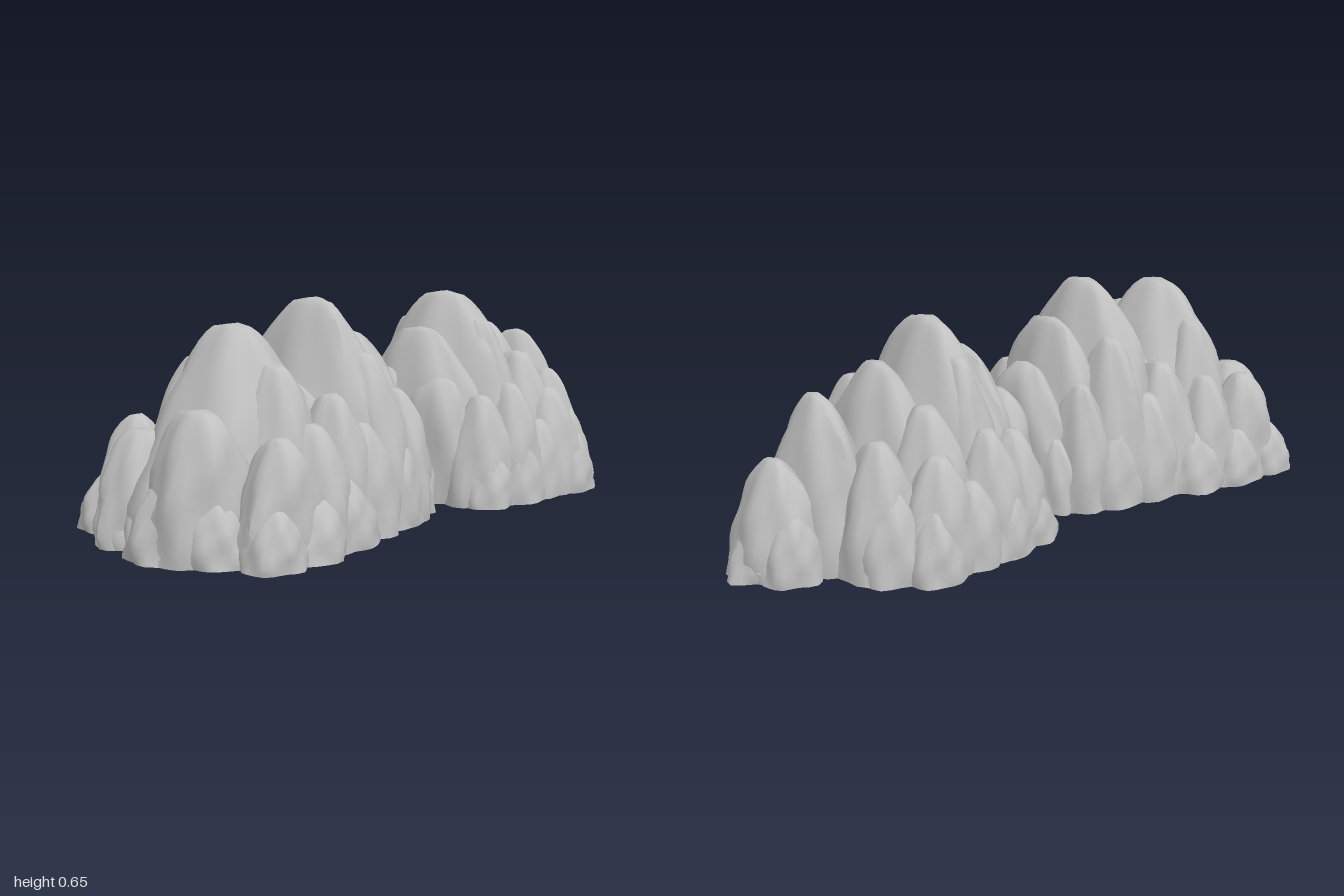
import * as THREE from 'three';
import { mergeVertices, toCreasedNormals } from 'three/addons/utils/BufferGeometryUtils.js';

const stone = new THREE.MeshStandardMaterial({ color: 0xc0c0c0 });
stone.name = 'grey stone';

// Half-width at height t (0 to 1): narrows from 1 to the plateau fraction; larger k is more column-like
const taper = (t, k, plateau) => plateau + (1 - plateau) * Math.pow(Math.max(0, 1 - Math.pow(t, k)), 0.8);

// One rock: flat base, tapering sides and a small weathered plateau on top
function rockGeometry([, , rx, rz, h, kx, kz], [topX, topZ], seed) {
  const rows = 13;
  const profile = [new THREE.Vector2(0, 0)];
  for (let i = 0; i <= rows; i++) profile.push(new THREE.Vector2(1, 1 - Math.pow(1 - i / rows, 1.4)));
  profile.push(new THREE.Vector2(0, 1));
  let geo = new THREE.LatheGeometry(profile, 24);
  geo.deleteAttribute('uv');
  geo.deleteAttribute('normal');
  const p = geo.attributes.position;
  for (let i = 0; i < p.count; i++) {
    const x = p.getX(i), t = p.getY(i), z = p.getZ(i);
    const a = Math.atan2(z, x);
    // weathered bulges and vertical grooves
    const n = 1 + 0.05 * Math.sin(3 * a + seed + 3 * t) + 0.055 * Math.sin(6 * a - 5 * t + seed * 2.3)
      + 0.04 * Math.sin(4 * a + 13 * t + seed * 1.7);
    // the plateau edge dips slightly at its ends
    const dip = 1 - 0.02 * Math.abs(x) * t * t;
    p.setXYZ(i, x * rx * taper(t, kx, topX) * n, t * h * dip, z * rz * taper(t, kz, topZ) * n);
  }
  geo = mergeVertices(geo, 1e-5);
  return toCreasedNormals(geo, 0.9);
}

// Rows are x, z, rx, rz, height, kx, kz
const frontPeaks = [
  [0, 0.6, 0.29, 0.34, 0.595, 1.8, 1.15],
  [0, 0.285, 0.29, 0.25, 0.648, 2.2, 1.15],
  [0, 0.43, 0.27, 0.16, 0.43, 2.5, 2],
  [0, 0.15, 0.25, 0.14, 0.545, 2.1, 2],
  [0, 0.05, 0.19, 0.085, 0.42, 2.6, 6],
];
const frontBoulders = [
  [0.1, 0.815, 0.14, 0.155, 0.39, 4, 1.9],
  [-0.155, 0.8, 0.11, 0.15, 0.31, 3, 2],
  [-0.155, 0.86, 0.09, 0.085, 0.18, 2.5, 2],
  [0.05, 0.885, 0.11, 0.11, 0.2, 2.5, 1.6],
  [0.18, 0.85, 0.1, 0.085, 0.17, 2.5, 2],
  [-0.05, 0.82, 0.1, 0.12, 0.22, 2.5, 1.8],
];
const frontFlanks = [
  // tall inner shoulders
  [0.155, 0.595, 0.15, 0.19, 0.495, 2.2, 1.3],
  [0.155, 0.25, 0.15, 0.17, 0.5, 2.2, 1.3],
  [0.2, 0.42, 0.14, 0.15, 0.4, 2.2, 1.5],
  [0.17, 0.12, 0.12, 0.11, 0.38, 2.5, 1.8],
  // middle tier
  [0.29, 0.705, 0.095, 0.15, 0.325, 5, 1.5],
  [0.26, 0.56, 0.12, 0.14, 0.34, 2.5, 1.5],
  [0.23, 0.34, 0.11, 0.13, 0.32, 2.5, 1.5],
  [0.23, 0.2, 0.09, 0.11, 0.26, 2.5, 1.5],
  [0.155, 0.035, 0.085, 0.07, 0.22, 2.5, 2.2],
  // low outer rocks
  [0.33, 0.775, 0.09, 0.09, 0.16, 2.5, 1.8],
  [0.335, 0.635, 0.085, 0.11, 0.17, 2.5, 1.6],
  [0.3, 0.485, 0.09, 0.11, 0.19, 2.5, 1.6],
];
const backPeaks = [
  [0, -0.315, 0.3, 0.26, 0.632, 2.1, 1.15],
  [0, -0.2, 0.26, 0.14, 0.525, 2.1, 2.2],
  [0, -0.49, 0.23, 0.17, 0.53, 2.4, 1.8],
  [0, -0.7, 0.175, 0.16, 0.48, 3, 1.5],
  [0, -0.84, 0.14, 0.135, 0.32, 3, 1.8],
  [0, -0.895, 0.09, 0.105, 0.18, 2, 1.4],
];
const backBoulders = [
  [-0.09, -0.135, 0.14, 0.085, 0.4, 3, 6],
  [0.11, -0.15, 0.14, 0.09, 0.38, 3, 5],
  [0.01, -0.105, 0.1, 0.06, 0.24, 2.5, 3],
];
const backFlanks = [
  // tall inner shoulders
  [0.13, -0.32, 0.16, 0.17, 0.55, 2, 1.3],
  [0.18, -0.46, 0.16, 0.16, 0.44, 2.2, 1.5],
  [0.18, -0.62, 0.13, 0.14, 0.37, 2.3, 1.7],
  // middle tier
  [0.24, -0.2, 0.11, 0.12, 0.33, 2.5, 1.7],
  [0.26, -0.31, 0.12, 0.13, 0.36, 2.5, 1.6],
  [0.28, -0.49, 0.11, 0.15, 0.33, 2.5, 1.5],
  [0.24, -0.63, 0.1, 0.11, 0.26, 2.5, 1.6],
  // low outer rocks
  [0.29, -0.18, 0.075, 0.09, 0.17, 2.5, 1.6],
  [0.31, -0.4, 0.08, 0.11, 0.24, 2.5, 1.6],
  [0.325, -0.54, 0.09, 0.095, 0.2, 2.5, 1.6],
  [0.32, -0.29, 0.07, 0.1, 0.2, 2.5, 1.6],
  [0.09, -0.85, 0.08, 0.09, 0.2, 2.5, 1.8],
];

export function createModel() {
  const model = new THREE.Group();
  model.name = 'twinRockyMountains';
  let seed = 1;

  function addRocks(parent, name, list, plateau, sides = [1]) {
    list.forEach((rock, i) => {
      for (const side of sides) {
        seed += 1.37;
        const mesh = new THREE.Mesh(rockGeometry(rock, plateau, seed), stone);
        mesh.position.set(rock[0] * side, 0, rock[1]);
        const label = sides.length > 1 ? (side > 0 ? 'Left' : 'Right') : '';
        mesh.name = name + label + (i + 1);
        parent.add(mesh);
      }
    });
  }

  function addMountain(name, peaks, boulders, flanks) {
    const mountain = new THREE.Group();
    mountain.name = name;
    addRocks(mountain, 'peak', peaks, [0.25, 0.07]);
    addRocks(mountain, 'boulder', boulders, [0.4, 0.16]);
    addRocks(mountain, 'flankRock', flanks, [0.25, 0.12], [1, -1]);
    model.add(mountain);
  }

  addMountain('frontMountain', frontPeaks, frontBoulders, frontFlanks);
  addMountain('backMountain', backPeaks, backBoulders, backFlanks);
  return model;
}
